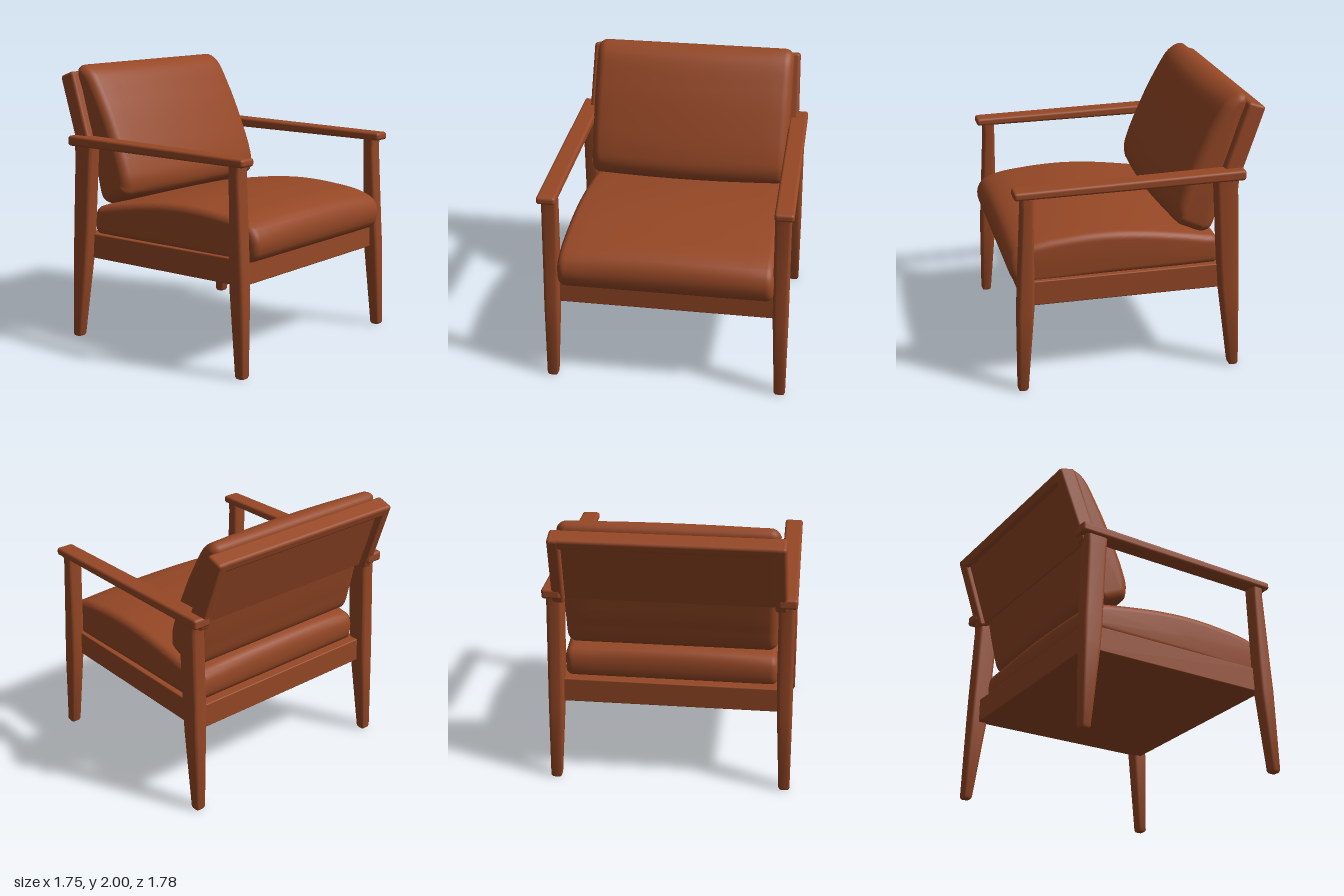
import * as THREE from 'three';
import { toCreasedNormals } from 'three/addons/utils/BufferGeometryUtils.js';
import { RoundedBoxGeometry } from 'three/addons/geometries/RoundedBoxGeometry.js';

// Skin a list of equal-length rings (counter-clockwise about the direction of travel) and cap both ends
function loft(rings, crease) {
  const n = rings[0].length, pos = [], idx = [];
  rings.forEach(r => r.forEach(p => pos.push(p.x, p.y, p.z)));
  for (let i = 0; i < rings.length - 1; i++) {
    for (let j = 0; j < n; j++) {
      const a = i * n + j, b = i * n + (j + 1) % n;
      idx.push(a, b, b + n, a, b + n, a + n);
    }
  }
  [rings[0], rings[rings.length - 1]].forEach((r, end) => {
    const c = new THREE.Vector3();
    r.forEach(p => c.addScaledVector(p, 1 / n));
    const k = pos.length / 3, first = end ? (rings.length - 1) * n : 0;
    pos.push(c.x, c.y, c.z);
    for (let j = 0; j < n; j++) {
      const a = first + j, b = first + (j + 1) % n;
      if (end) idx.push(k, a, b); else idx.push(k, b, a);
    }
  });
  const g = new THREE.BufferGeometry();
  g.setAttribute('position', new THREE.Float32BufferAttribute(pos, 3));
  g.setIndex(idx);
  return toCreasedNormals(g, crease);
}

// Tapered leg with rounded corners; each section is [y, xInner, xOuter, zBack, zFront], side mirrors x
function legGeometry(sections, side) {
  const rings = sections.map(([y, x0, x1, z0, z1]) => {
    const ring = [], r = 0.24 * Math.min(x1 - x0, z1 - z0);
    const cx = side * (x0 + x1) / 2, cz = (z0 + z1) / 2;
    for (let q = 0; q < 4; q++) {
      const sx = q === 0 || q === 3 ? 1 : -1, sz = q < 2 ? -1 : 1;
      for (let k = 0; k <= 4; k++) {
        const a = (q + k / 4) * Math.PI / 2;
        ring.push(new THREE.Vector3(
          cx + sx * ((x1 - x0) / 2 - r) + r * Math.cos(a), y,
          cz + sz * ((z1 - z0) / 2 - r) - r * Math.sin(a)));
      }
    }
    return ring;
  });
  return loft(rings, 0.7);
}

// Cushion: closed [y, z] side profile swept across x with rounded ends,
// crowned towards the centre along the given axis
function cushionGeometry(profile, halfWidth, radius, axis, crown) {
  const count = 96;
  const curve = new THREE.CatmullRomCurve3(
    profile.map(([y, z]) => new THREE.Vector3(0, y, z)), true, 'centripetal');
  const points = curve.getSpacedPoints(count).slice(0, count);
  const normals = points.map((p, i) => {
    const t = points[(i + 1) % count].clone().sub(points[(i + count - 1) % count]).normalize();
    return new THREE.Vector3(0, t.z, -t.y);
  });
  const inner = halfWidth - radius, ends = [];
  for (let k = 0; k <= 8; k++) {
    const a = k / 8 * Math.PI / 2;
    ends.push([inner + radius * Math.cos(a), radius * (1 - Math.sin(a))]);
  }
  const stations = ends.map(([x, d]) => [-x, d]);
  for (let k = 1; k < 12; k++) stations.push([-inner + 2 * inner * k / 12, 0]);
  stations.push(...ends.reverse());
  const rings = stations.map(([x, d]) => points.map((p, i) => {
    const facing = Math.max(0, normals[i].dot(axis));
    const inset = d + crown * facing * (x / halfWidth) ** 2;
    const q = p.clone().addScaledVector(normals[i], -inset);
    q.x = x;
    return q;
  }));
  return loft(rings, 1.0);
}

// Armrest whose flat underside stays level while the top rises to the rear
function armGeometry() {
  const length = 1.61, g = new RoundedBoxGeometry(0.134, 0.056, length, 4, 0.02);
  const p = g.attributes.position;
  for (let i = 0; i < p.count; i++) {
    if (p.getY(i) > 0) p.setY(i, p.getY(i) + 0.018 * (0.5 - p.getZ(i) / length));
  }
  return g;
}

export function createModel() {
  const chair = new THREE.Group();
  chair.name = 'armchair';
  const brown = new THREE.MeshStandardMaterial({ color: 0x964826 });
  brown.name = 'russet brown';

  function add(parent, name, geometry, x = 0, y = 0, z = 0) {
    const m = new THREE.Mesh(geometry, brown);
    m.name = name;
    m.position.set(x, y, z);
    parent.add(m);
    return m;
  }

  // Legs and armrests on both sides
  const frontLeg = [
    [0, 0.797, 0.863, 0.807, 0.866], [0.015, 0.79, 0.87, 0.8, 0.872],
    [0.6, 0.76, 0.867, 0.745, 0.862], [0.8, 0.753, 0.864, 0.738, 0.85],
    [1.36, 0.745, 0.857, 0.732, 0.815], [1.45, 0.745, 0.857, 0.73, 0.82],
  ];
  const backLeg = [
    [0, 0.797, 0.863, -0.736, -0.677], [0.015, 0.79, 0.87, -0.742, -0.67],
    [0.6, 0.76, 0.867, -0.728, -0.592], [0.8, 0.753, 0.864, -0.722, -0.575],
    [1.36, 0.745, 0.857, -0.698, -0.54], [1.46, 0.745, 0.857, -0.705, -0.53],
  ];
  for (const s of [1, -1]) {
    const side = s > 0 ? 'left' : 'right';
    add(chair, side + 'FrontLeg', legGeometry(frontLeg, s));
    add(chair, side + 'BackLeg', legGeometry(backLeg, s));
    add(chair, side + 'Armrest', armGeometry(), s * 0.808, 1.452, 0.06);
  }

  // Seat frame with closed underside, dropping slightly to the rear
  const frame = add(chair, 'seatFrame',
    new RoundedBoxGeometry(1.57, 0.18, 1.47, 2, 0.008), 0, 0.695, 0.07);
  frame.rotation.x = -0.011;

  // Cushions
  add(chair, 'seatCushion', cushionGeometry([
    [1.112, 0.25], [1.102, 0.5], [1.07, 0.74], [1.02, 0.85], [0.95, 0.888], [0.86, 0.89],
    [0.79, 0.86], [0.762, 0.79], [0.765, 0.2], [0.765, -0.5], [0.775, -0.595], [0.83, -0.615],
    [0.95, -0.61], [0.995, -0.58], [1.02, -0.48], [1.07, -0.2], [1.1, 0.03],
  ], 0.757, 0.055, new THREE.Vector3(0, 1, 0), 0.03));
  add(chair, 'backCushion', cushionGeometry([
    [1.997, -0.71], [1.95, -0.61], [1.75, -0.48], [1.5, -0.36], [1.3, -0.28], [1.18, -0.252],
    [1.09, -0.275], [1.04, -0.36], [1.005, -0.48], [1.03, -0.55], [1.2, -0.605], [1.5, -0.67],
    [1.8, -0.745], [1.93, -0.79], [1.985, -0.775],
  ], 0.748, 0.07, new THREE.Vector3(0, 0, 1), 0.045));

  // Reclined back frame: stiles, top rail and recessed panel
  const back = new THREE.Group();
  back.name = 'backFrame';
  back.position.set(0, 1.667, -0.741);
  back.rotation.x = -0.34;
  chair.add(back);
  for (const s of [1, -1]) {
    const stile = add(back, s > 0 ? 'leftStile' : 'rightStile',
      new RoundedBoxGeometry(0.085, 0.565, 0.13, 3, 0.022), s * 0.757, 0, 0);
    stile.rotation.z = s * 0.035;
  }
  add(back, 'topRail', new RoundedBoxGeometry(1.54, 0.08, 0.127, 3, 0.022), 0, 0.243, 0);
  add(back, 'backPanel', new THREE.BoxGeometry(1.48, 0.52, 0.05), 0, -0.01, 0.005);

  return chair;
}
